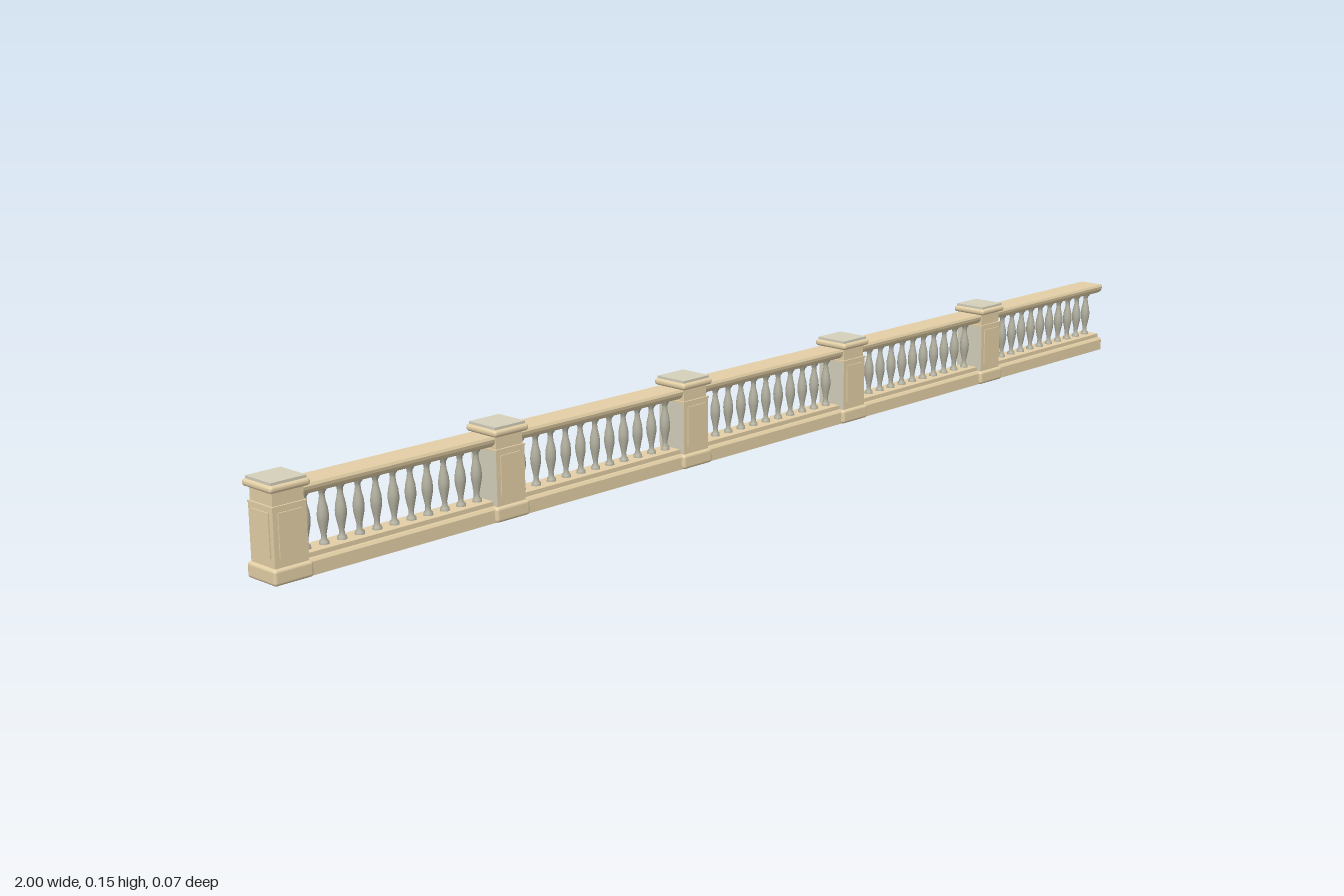
import * as THREE from 'three';
import { RoundedBoxGeometry } from 'three/addons/geometries/RoundedBoxGeometry.js';

const mat = (name, color) => {
  const m = new THREE.MeshStandardMaterial({ color });
  m.name = name;
  return m;
};

export function createModel() {
  const tan = mat('tan sandstone', 0xe3cfa6);
  const grey = mat('pale grey stone', 0xd5d0bb);
  const balusterGrey = mat('baluster grey stone', 0xb3b1a0);

  const model = new THREE.Group();
  model.name = 'balustrade';
  const add = (parent, name, geometry, material, x = 0, y = 0, z = 0) => {
    const mesh = new THREE.Mesh(geometry, material);
    mesh.name = name;
    mesh.position.set(x, y, z);
    parent.add(mesh);
    return mesh;
  };

  const first = -0.966, spacing = 0.398, pillars = 5, balustersPerBay = 11;

  // Long mouldings: a mirrored half profile [half depth, height] swept along x
  const start = first, end = 1;
  const moulding = (name, half) => {
    const points = [...half, ...half.slice().reverse().map(([w, y]) => [-w, y])];
    const shape = new THREE.Shape(points.map(([w, y]) => new THREE.Vector2(w, y)));
    const geometry = new THREE.ExtrudeGeometry(shape, { depth: end - start, bevelEnabled: false });
    geometry.rotateY(Math.PI / 2);
    add(model, name, geometry, tan, start);
  };
  moulding('bottomRail', [[0.027, 0], [0.027, 0.02], [0.024, 0.024], [0.019, 0.024], [0.019, 0.031]]);
  moulding('handRail', [[0.009, 0.113], [0.016, 0.115], [0.021, 0.118], [0.024, 0.123], [0.025, 0.128], [0.023, 0.132]]);

  // Pillars
  const baseGeo = new RoundedBoxGeometry(0.066, 0.024, 0.066, 3, 0.005);
  const shaftGeo = new THREE.BoxGeometry(0.056, 0.09, 0.056);
  const neckGeo = new THREE.BoxGeometry(0.052, 0.024, 0.052);
  const collarGeo = new THREE.BoxGeometry(0.058, 0.003, 0.058);
  const capGeo = new RoundedBoxGeometry(0.068, 0.011, 0.068, 3, 0.005);
  const topGeo = new THREE.BoxGeometry(0.059, 0.005, 0.059);
  const panelGeo = new THREE.BoxGeometry(0.04, 0.065, 0.004);
  for (let i = 0; i < pillars; i++) {
    const pillar = new THREE.Group();
    pillar.name = 'pillar';
    pillar.position.x = first + i * spacing;
    model.add(pillar);
    add(pillar, 'pillarBase', baseGeo, tan, 0, 0.012);
    const outer = i === 0 ? tan : grey;
    add(pillar, 'pillarShaft', shaftGeo, [grey, outer, tan, tan, tan, tan], 0, 0.066);
    add(pillar, 'pillarCollar', collarGeo, tan, 0, 0.1105);
    add(pillar, 'pillarNeck', neckGeo, tan, 0, 0.122);
    add(pillar, 'pillarCap', capGeo, tan, 0, 0.1375);
    add(pillar, 'pillarTop', topGeo, grey, 0, 0.1445);
    // Raised panels on the exposed faces
    for (const s of [1, -1]) add(pillar, 'pillarPanel', panelGeo, tan, 0, 0.07, s * 0.028);
    if (i === 0) add(pillar, 'endPanel', panelGeo, tan, -0.028, 0.07).rotation.y = Math.PI / 2;
  }

  // Turned balusters, evenly spaced in every bay
  const profile = [
    [0.0075, 0.031], [0.007, 0.035], [0.0042, 0.038], [0.004, 0.045], [0.006, 0.055],
    [0.0082, 0.066], [0.0085, 0.074], [0.0075, 0.084], [0.005, 0.094], [0.004, 0.102],
    [0.0045, 0.107], [0.007, 0.11], [0.0075, 0.114],
  ].map(([r, y]) => new THREE.Vector2(r, y));
  const balusterGeo = new THREE.LatheGeometry(profile, 12);
  const clear = spacing - 0.056;
  for (let i = 0; i < pillars; i++) {
    for (let j = 0; j < balustersPerBay; j++) {
      const x = first + i * spacing + 0.028 + ((j + 0.5) / balustersPerBay) * clear;
      add(model, 'baluster', balusterGeo, balusterGrey, x);
    }
  }
  return model;
}
